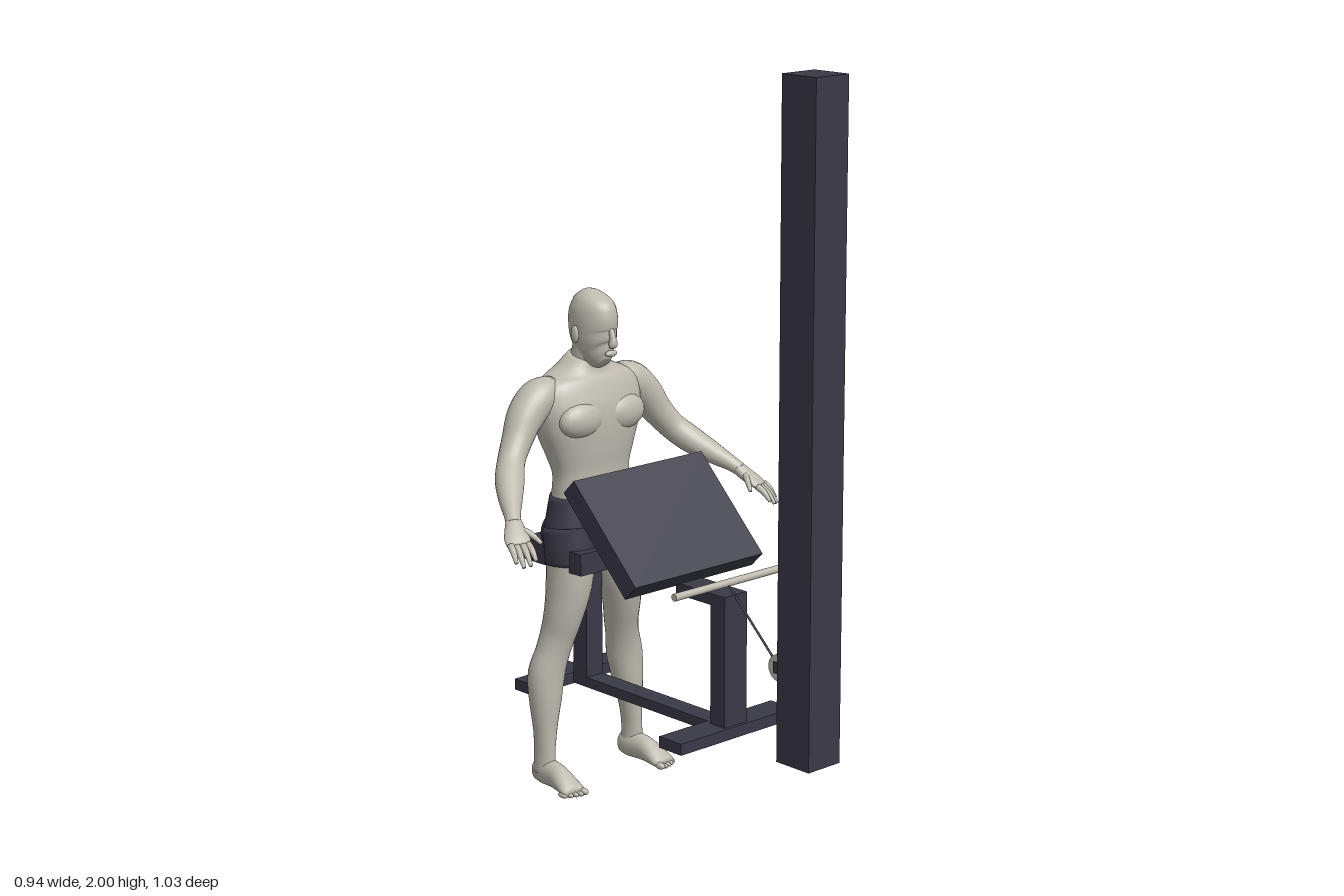
import * as THREE from 'three';

const V = (x, y, z) => new THREE.Vector3(x, y, z);
const material = (name, color) => {
  const m = new THREE.MeshStandardMaterial({ color });
  m.name = name;
  return m;
};

// Smooth closed body through elliptical sections [x, y, z, halfWidth, halfDepth]
function loft(sections, ref = V(1, 0, 0), { steps = 4, sides = 24, power = 1 } = {}) {
  const path = new THREE.CatmullRomCurve3(sections.map(s => V(s[0], s[1], s[2])));
  const size = new THREE.CatmullRomCurve3(sections.map(s => V(s[3], s[4], 0)));
  const rows = (sections.length - 1) * steps;
  const pos = [], index = [];
  const round = c => Math.sign(c) * Math.abs(c) ** power;
  for (let i = 0; i <= rows; i++) {
    const p = path.getPoint(i / rows), r = size.getPoint(i / rows), t = path.getTangent(i / rows);
    const u = ref.clone().addScaledVector(t, -ref.dot(t)).normalize();
    const v = t.clone().cross(u);
    for (let j = 0; j < sides; j++) {
      const a = j / sides * Math.PI * 2;
      const q = p.clone().addScaledVector(u, round(Math.cos(a)) * r.x).addScaledVector(v, round(Math.sin(a)) * r.y);
      pos.push(q.x, q.y, q.z);
    }
  }
  const first = pos.length / 3, last = first + 1;
  for (const s of [sections[0], sections.at(-1)]) pos.push(s[0], s[1], s[2]);
  for (let j = 0; j < sides; j++) {
    const k = (j + 1) % sides, end = rows * sides;
    for (let i = 0; i < rows; i++) {
      const a = i * sides, b = a + sides;
      index.push(a + j, a + k, b + k, a + j, b + k, b + j);
    }
    index.push(first, k, j, last, end + j, end + k);
  }
  const g = new THREE.BufferGeometry();
  g.setAttribute('position', new THREE.Float32BufferAttribute(pos, 3));
  g.setIndex(index);
  g.computeVertexNormals();
  return g;
}

// Upright sections [y, halfWidth, zFront, zBack]
const upright = rows => rows.map(([y, w, f, b]) => [0, y, (f + b) / 2, w, (f - b) / 2]);

export function createModel() {
  const model = new THREE.Group();
  model.name = 'cableRowStation';
  const dark = material('darkFrame', 0x3a3947);
  const light = material('paleGrey', 0xbdb9ae);
  const machine = new THREE.Group(), figure = new THREE.Group();
  machine.name = 'machine';
  figure.name = 'figure';
  model.add(machine, figure);

  const add = (parent, name, geometry, mat) => {
    const mesh = new THREE.Mesh(geometry, mat);
    mesh.name = name;
    parent.add(mesh);
    return mesh;
  };
  // Box from half width in x and the ranges in y and z
  const beam = (name, w, y0, y1, z0, z1) => add(machine, name,
    new THREE.BoxGeometry(w * 2, y1 - y0, z1 - z0).translate(0, (y0 + y1) / 2, (z0 + z1) / 2), dark);
  const ball = (name, c, r, mat = light) => add(figure, name,
    new THREE.SphereGeometry(1, 20, 14).scale(...r).translate(...c), mat);

  // Frame
  beam('column', 0.056, 0.25, 2, 0.4, 0.515);
  beam('baseRail', 0.029, 0.252, 0.28, -0.515, 0.13);
  beam('frontFoot', 0.203, 0.25, 0.281, 0.12, 0.203);
  beam('rearFoot', 0.18, 0.25, 0.281, -0.485, -0.415);
  beam('frontPost', 0.04, 0.28, 0.61, 0.14, 0.193);
  beam('padArm', 0.04, 0.605, 0.636, 0.01, 0.193);
  beam('seatPost', 0.029, 0.28, 0.615, -0.415, -0.36);
  beam('seat', 0.13, 0.61, 0.67, -0.51, -0.265);
  beam('pulleyBracket', 0.015, 0.465, 0.495, 0.345, 0.405);

  // Tilted pad
  const pad = add(machine, 'tiltedPad', new THREE.BoxGeometry(0.456, 0.335, 0.057), dark);
  pad.position.set(0, 0.77, -0.079);
  pad.rotation.x = -Math.PI / 4;

  // Pulley, cable and handle
  add(machine, 'pulley', new THREE.CylinderGeometry(0.036, 0.036, 0.022, 32)
    .rotateZ(Math.PI / 2).translate(0, 0.48, 0.36), light);
  add(machine, 'cable', new THREE.TubeGeometry(
    new THREE.LineCurve3(V(0, 0.49, 0.34), V(0, 0.66, 0.16)), 1, 0.003, 8), dark);
  add(machine, 'handleBar', new THREE.CylinderGeometry(0.01, 0.01, 0.375, 16)
    .rotateZ(Math.PI / 2).translate(0, 0.66, 0.16), light);

  // Torso, neck and head
  add(figure, 'torso', loft(upright([
    [0.75, 0.128, -0.3, -0.445], [0.8, 0.123, -0.302, -0.44], [0.86, 0.12, -0.303, -0.436],
    [0.92, 0.137, -0.297, -0.45], [0.98, 0.16, -0.293, -0.465], [1.04, 0.172, -0.296, -0.467],
    [1.09, 0.17, -0.312, -0.462], [1.125, 0.14, -0.328, -0.456], [1.15, 0.085, -0.335, -0.445],
    [1.18, 0.047, -0.338, -0.428]]), V(1, 0, 0), { sides: 32, power: 0.88 }), light);
  add(figure, 'neck', loft(upright([
    [1.12, 0.055, -0.335, -0.44], [1.16, 0.047, -0.337, -0.43],
    [1.2, 0.044, -0.325, -0.418], [1.24, 0.044, -0.325, -0.415]])), light);
  add(figure, 'head', loft(upright([
    [1.163, 0.02, -0.292, -0.335], [1.178, 0.034, -0.281, -0.37], [1.2, 0.045, -0.28, -0.402],
    [1.225, 0.052, -0.279, -0.42], [1.25, 0.055, -0.28, -0.431], [1.28, 0.056, -0.277, -0.434],
    [1.31, 0.053, -0.283, -0.43], [1.335, 0.043, -0.3, -0.415], [1.352, 0.025, -0.325, -0.388],
    [1.36, 0.002, -0.353, -0.357]])), light);
  add(figure, 'nose', loft([
    [0, 1.262, -0.284, 0.007, 0.006], [0, 1.235, -0.277, 0.009, 0.01],
    [0, 1.22, -0.276, 0.013, 0.011], [0, 1.212, -0.281, 0.009, 0.006]]), light);
  ball('mouth', [0, 1.195, -0.284], [0.02, 0.009, 0.009]);

  // Shorts
  add(figure, 'shorts', loft(upright([
    [0.635, 0.1, -0.305, -0.425], [0.66, 0.14, -0.295, -0.445], [0.7, 0.148, -0.29, -0.452],
    [0.75, 0.138, -0.291, -0.452], [0.805, 0.127, -0.297, -0.445]]),
    V(1, 0, 0), { sides: 32, power: 0.88 }), dark);

  for (const s of [1, -1]) {
    const side = s > 0 ? 'left' : 'right';
    const limb = (name, rows, ref = [1, 0, 0], mat = light, options) => add(figure, side + name,
      loft(rows.map(([x, ...rest]) => [x * s, ...rest]), V(ref[0] * s, ref[1], ref[2]), options), mat);

    // Muscles and ears
    ball(side + 'Chest', [s * 0.072, 1.02, -0.322], [0.075, 0.05, 0.037]);
    ball(side + 'ShoulderBlade', [s * 0.085, 1.05, -0.435], [0.065, 0.07, 0.034]);
    ball(side + 'Ear', [s * 0.056, 1.243, -0.365], [0.008, 0.024, 0.014]);
    ball(side + 'Buttock', [s * 0.065, 0.69, -0.41], [0.066, 0.07, 0.055], dark);
    limb('ShortsLeg', [
      [0.075, 0.72, -0.37, 0.072, 0.078], [0.078, 0.66, -0.363, 0.074, 0.075],
      [0.083, 0.615, -0.36, 0.068, 0.07]], [1, 0, 0], dark);

    // Leg
    limb('Leg', [
      [0.08, 0.66, -0.36, 0.066, 0.07], [0.09, 0.56, -0.36, 0.06, 0.067],
      [0.105, 0.48, -0.366, 0.051, 0.057], [0.115, 0.42, -0.379, 0.046, 0.051],
      [0.127, 0.37, -0.388, 0.047, 0.047], [0.142, 0.31, -0.397, 0.052, 0.049],
      [0.15, 0.24, -0.394, 0.045, 0.045], [0.157, 0.15, -0.388, 0.03, 0.035],
      [0.16, 0.09, -0.387, 0.025, 0.034], [0.16, 0.035, -0.387, 0.027, 0.036]]);

    // Foot with a flat sole, and toes
    const foot = limb('Foot', [
      [0.157, 0.028, -0.432, 0.008, 0.012], [0.157, 0.03, -0.42, 0.022, 0.029],
      [0.158, 0.036, -0.385, 0.029, 0.038], [0.161, 0.035, -0.335, 0.029, 0.036],
      [0.164, 0.024, -0.295, 0.034, 0.026], [0.166, 0.014, -0.265, 0.036, 0.016],
      [0.167, 0.012, -0.252, 0.032, 0.01]]);
    const p = foot.geometry.attributes.position;
    for (let i = 0; i < p.count; i++) p.setY(i, Math.max(0, p.getY(i)));
    foot.geometry.computeVertexNormals();
    for (let i = 0; i < 5; i++) {
      const r = i ? 0.0072 : 0.01;
      ball(side + 'Toe', [s * (0.141 + i * 0.0143), r, -0.25 - i * i * 0.0012], [r, r, 0.018]);
    }

    // Arm
    limb('Arm', [
      [0.11, 1.095, -0.395, 0.04, 0.045], [0.165, 1.078, -0.395, 0.053, 0.056],
      [0.21, 1.04, -0.39, 0.05, 0.052], [0.25, 0.985, -0.377, 0.041, 0.043],
      [0.288, 0.937, -0.357, 0.037, 0.038], [0.32, 0.903, -0.325, 0.039, 0.037],
      [0.36, 0.865, -0.275, 0.032, 0.03], [0.395, 0.832, -0.225, 0.021, 0.02],
      [0.405, 0.82, -0.208, 0.021, 0.018]], [1, 0, -0.3]);

    // Hand
    const spread = [1, 0, -0.5];
    limb('Palm', [
      [0.4, 0.827, -0.217, 0.02, 0.018], [0.413, 0.808, -0.194, 0.028, 0.017],
      [0.426, 0.79, -0.17, 0.034, 0.014], [0.433, 0.778, -0.153, 0.031, 0.01]], spread);
    const digits = [
      [[0.411, 0.782, -0.146], [0.419, 0.747, -0.104]],
      [[0.426, 0.78, -0.149], [0.437, 0.737, -0.104]],
      [[0.441, 0.779, -0.156], [0.453, 0.734, -0.112]],
      [[0.453, 0.782, -0.165], [0.464, 0.744, -0.129]],
      [[0.401, 0.81, -0.185], [0.374, 0.778, -0.136]]];
    digits.forEach(([a, b], i) => {
      const mid = a.map((c, k) => (c + b[k]) / 2 + (k === 1 ? 0.005 : 0));
      limb(i < 4 ? 'Finger' : 'Thumb',
        [[...a, 0.0095, 0.0095], [...mid, 0.0085, 0.0085], [...b, 0.005, 0.005]],
        spread, light, { sides: 10 });
    });
  }
  return model;
}
